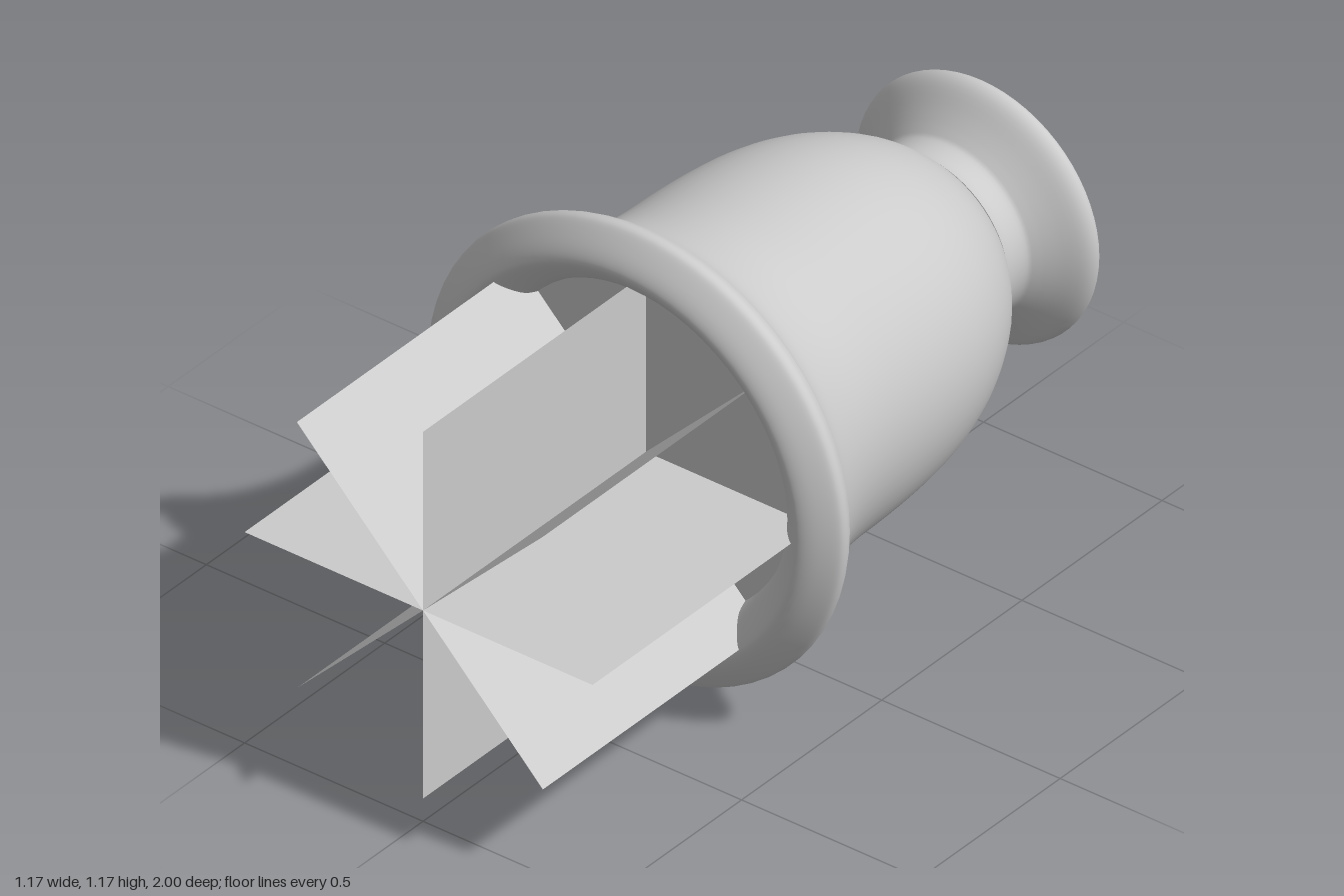
import * as THREE from 'three';

const CY = 0.5825; // height of the bell's axis
const grey = new THREE.MeshStandardMaterial({ color: 0xcccccc });
const thin = new THREE.MeshStandardMaterial({ color: 0xcccccc, side: THREE.DoubleSide });

// Lathe around the z axis from [radius, z] pairs, listed back to front for outward faces
function turned(name, pairs, smoothSteps = 0) {
  let pts = pairs.map(([r, z]) => new THREE.Vector2(r, z));
  if (smoothSteps) pts = new THREE.SplineCurve(pts).getPoints(smoothSteps);
  const geo = new THREE.LatheGeometry(pts, 64).rotateX(Math.PI / 2);
  const mesh = new THREE.Mesh(geo, grey);
  mesh.name = name;
  mesh.position.y = CY;
  return mesh;
}

export function createModel() {
  const group = new THREE.Group();
  group.name = 'bellNozzle';

  // Domed bell flaring out to the rim
  group.add(turned('bell', [
    [0.21, -0.8], [0.25, -0.775], [0.315, -0.7], [0.37, -0.6], [0.405, -0.5], [0.425, -0.4],
    [0.435, -0.3], [0.44, -0.2], [0.443, -0.1], [0.455, 0], [0.488, 0.1], [0.525, 0.16], [0.568, 0.2],
  ], 48));

  // Rounded rim and the lining that turns into the mouth
  group.add(turned('rim', [
    [0.568, 0.2], [0.58, 0.22], [0.5825, 0.238], [0.572, 0.255], [0.535, 0.285], [0.505, 0.3],
    [0.485, 0.298], [0.455, 0.275], [0.425, 0.24], [0.41, 0.2],
  ], 36));

  // Narrow neck, mounting collar and its flat back
  group.add(turned('neckCollar', [
    [0.315, -1], [0.33, -0.993], [0.335, -0.975], [0.32, -0.95], [0.275, -0.915],
    [0.24, -0.885], [0.225, -0.865], [0.225, -0.82], [0.235, -0.79],
  ], 30));
  group.add(turned('backPlate', [[0, -1], [0.315, -1]]));

  // Flat plate closing the mouth
  const plate = new THREE.Mesh(new THREE.CircleGeometry(0.412, 64), grey);
  plate.name = 'mouthPlate';
  plate.position.set(0, CY, 0.205);
  group.add(plate);

  // Four crossed sheets fanning out in front of the mouth
  const sheets = new THREE.Group();
  sheets.name = 'exhaustSheets';
  sheets.position.set(0, 0.56, 0);
  for (let i = -1; i < 3; i++) {
    const geo = new THREE.PlaneGeometry(0.975, 0.8).rotateX(-Math.PI / 2).translate(-0.0125, 0, 0.6);
    const sheet = new THREE.Mesh(geo, thin);
    sheet.name = 'exhaustSheet';
    sheet.rotation.z = i * Math.PI / 4;
    sheets.add(sheet);
  }
  group.add(sheets);
  return group;
}
